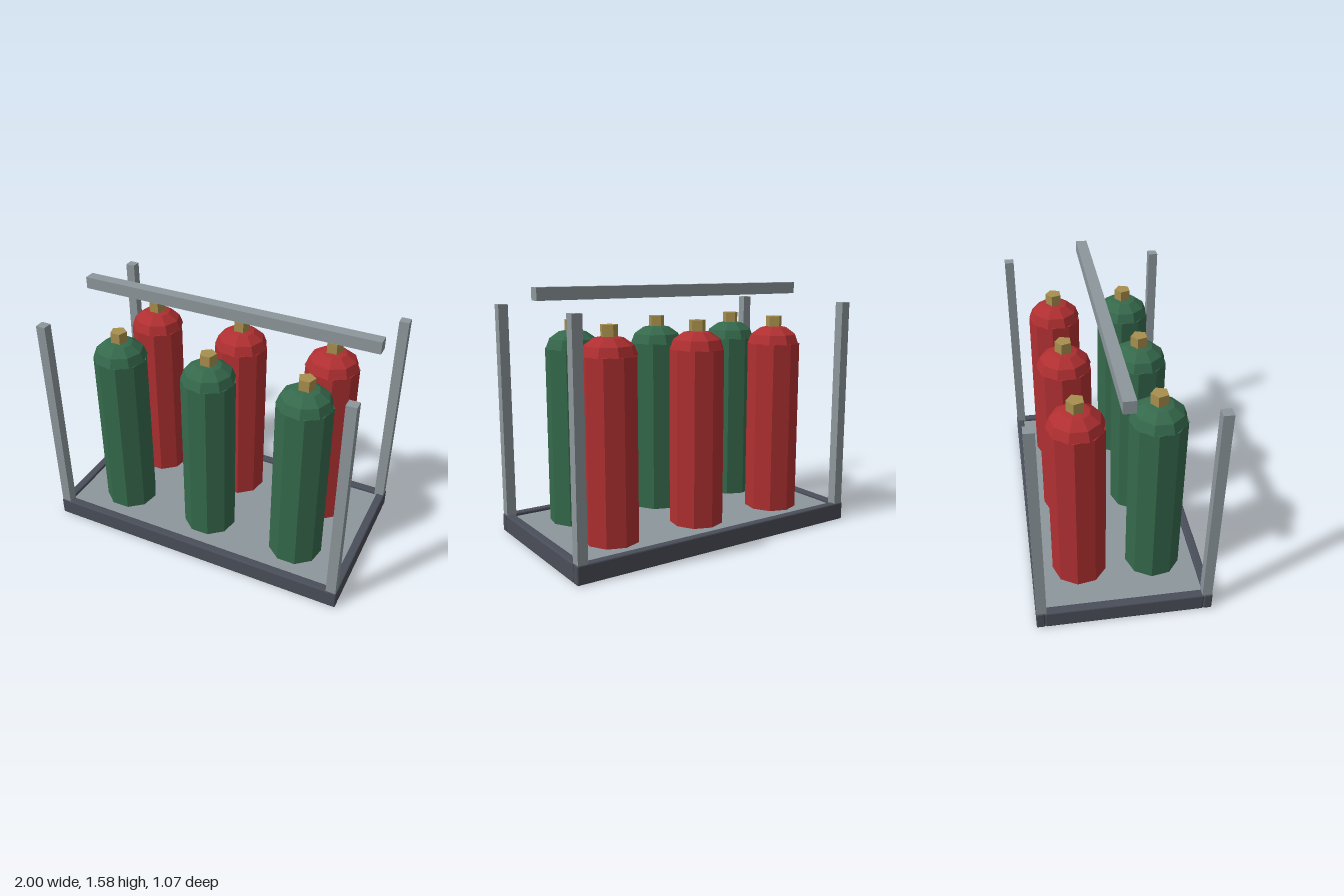
import * as THREE from 'three';
import { RoundedBoxGeometry } from 'three/addons/geometries/RoundedBoxGeometry.js';

const mat = (name, color) => {
  const m = new THREE.MeshStandardMaterial({ color, flatShading: true });
  m.name = name;
  return m;
};

export function createModel() {
  const steel = mat('steel grey', 0x8d979c);
  const slate = mat('dark slate', 0x4a4e59);
  const green = mat('bottle green', 0x35694c);
  const red = mat('bottle red', 0xb02f31);
  const brass = mat('brass', 0xa88f4d);
  const domeMats = [green, red].map((m) => {
    m.side = THREE.DoubleSide;
    return m;
  });

  const model = new THREE.Group();
  model.name = 'gasBottleRack';
  const add = (parent, name, geometry, material, x, y, z) => {
    const mesh = new THREE.Mesh(geometry, material);
    mesh.name = name;
    mesh.position.set(x, y, z);
    parent.add(mesh);
    return mesh;
  };

  // Floor plate inside a bevelled rim
  add(model, 'floorPlate', new THREE.BoxGeometry(1.9, 0.02, 0.98), steel, 0, 0.085, 0);
  const longRim = new RoundedBoxGeometry(2, 0.115, 0.053, 1, 0.008);
  const sideRim = new RoundedBoxGeometry(0.055, 0.115, 0.968, 1, 0.008);
  for (const s of [1, -1]) {
    add(model, s > 0 ? 'frontRim' : 'backRim', longRim, slate, 0, 0.0575, s * 0.5105);
    add(model, s > 0 ? 'leftRim' : 'rightRim', sideRim, slate, s * 0.9725, 0.0575, 0);
  }

  // Corner posts
  const post = new THREE.BoxGeometry(0.062, 1.365, 0.06);
  for (const x of [0.963, -0.963]) {
    for (const z of [0.503, -0.503]) add(model, 'cornerPost', post, steel, x, 0.7825, z);
  }

  // Lifting bar above the bottles
  add(model, 'liftingBar', new THREE.BoxGeometry(1.926, 0.075, 0.072), steel, 0, 1.545, 0);

  // Gas bottles: nine-sided body, flattened dome, five-sided valve
  const body = new THREE.CylinderGeometry(0.17, 0.17, 1.105, 9);
  const dome = new THREE.SphereGeometry(0.17, 9, 3, 0, Math.PI * 2, 0, Math.PI / 2);
  dome.scale(1, 0.12 / 0.17, 1);
  const valve = new THREE.CylinderGeometry(0.053, 0.053, 0.085, 5);
  [0.2325, -0.2325].forEach((z, row) => {
    for (const x of [-0.616, 0, 0.616]) {
      const bottle = new THREE.Group();
      bottle.name = row === 0 ? 'greenBottle' : 'redBottle';
      bottle.position.set(x, 0, z);
      bottle.rotation.y = Math.PI;
      add(bottle, 'bottleBody', body, domeMats[row], 0, 0.6475, 0);
      add(bottle, 'bottleDome', dome, domeMats[row], 0, 1.197, 0);
      add(bottle, 'valve', valve, brass, 0, 1.3325, 0);
      model.add(bottle);
    }
  });

  return model;
}
